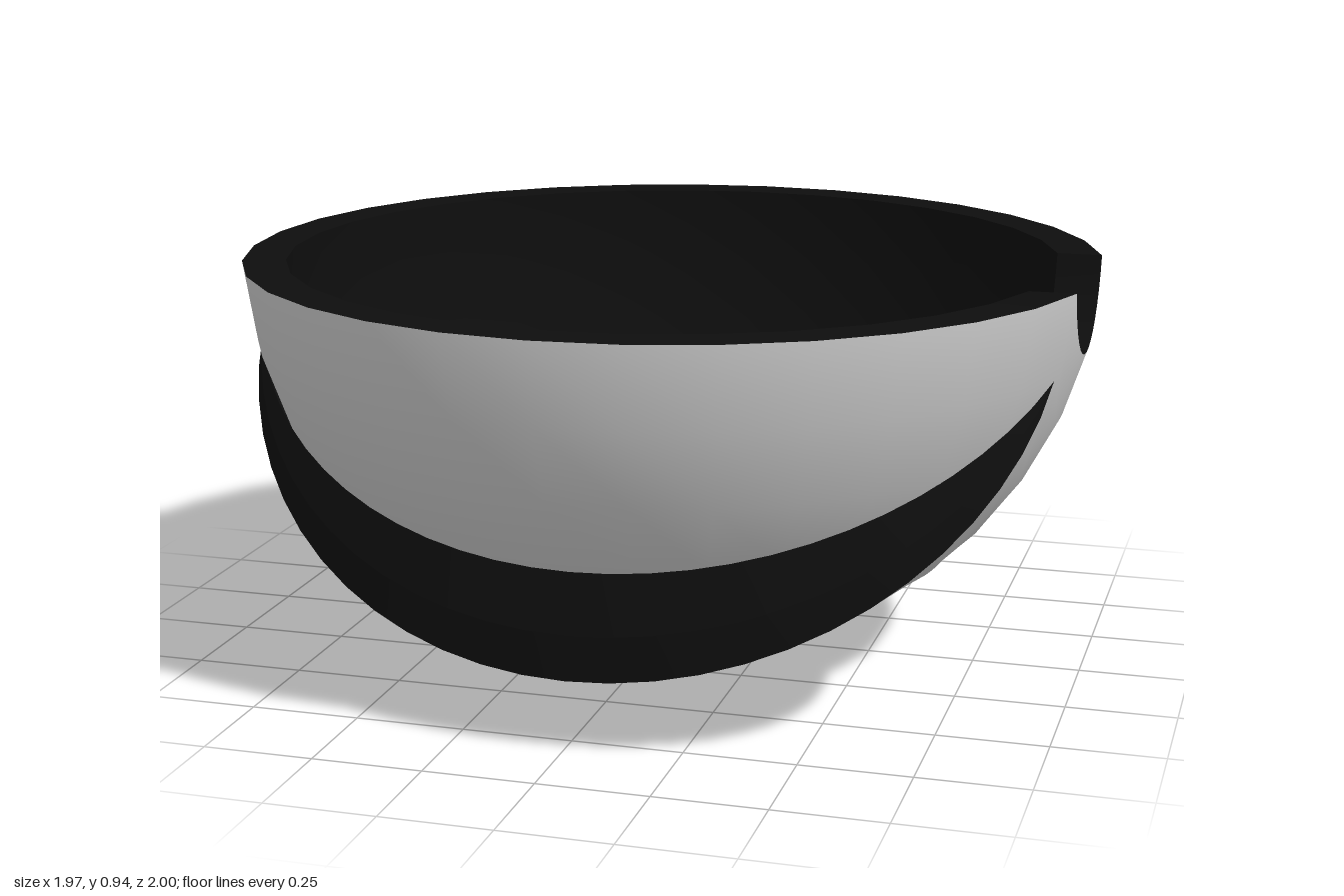
import * as THREE from 'three';
import { mergeGeometries } from 'three/addons/utils/BufferGeometryUtils.js';

const CX = 0.015, CY = 1;          // centre of the spherical body
const RIM = -0.06;                 // rim height relative to that centre
const NOTCH = 0.24;                // radius of the round cut on the +x side

// Surface through a grid of points; u x v points outwards
function grid(nu, nv, pointAt, normalAt) {
  const pos = [], nor = [], index = [];
  for (let i = 0; i <= nu; i++) for (let j = 0; j <= nv; j++) {
    const p = pointAt(i, j);
    pos.push(p.x, p.y, p.z);
    if (normalAt) nor.push(...normalAt(p).toArray());
    if (i < nu && j < nv) {
      const a = i * (nv + 1) + j, b = a + nv + 1;
      index.push(a, b, a + 1, b, b + 1, a + 1);
    }
  }
  const g = new THREE.BufferGeometry();
  g.setAttribute('position', new THREE.Float32BufferAttribute(pos, 3));
  g.setIndex(index);
  if (normalAt) g.setAttribute('normal', new THREE.Float32BufferAttribute(nor, 3));
  else g.computeVertexNormals();
  return g;
}

// Closed rim curve on a sphere of radius r: round notch, then the level circle
function rimCurve(r) {
  const pts = [], a0 = Math.acos(-RIM / NOTCH), cut = 16, round = 30;
  const x = Math.sqrt(r * r - NOTCH * NOTCH);
  for (let i = 0; i <= cut; i++) {
    const a = a0 * (2 * i / cut - 1);
    pts.push(new THREE.Vector3(x, -NOTCH * Math.cos(a), NOTCH * Math.sin(a)));
  }
  const start = Math.atan2(NOTCH * Math.sin(a0), x), rho = Math.sqrt(r * r - RIM * RIM);
  for (let i = 1; i <= round; i++) {
    const t = start + (2 * Math.PI - 2 * start) * i / round;
    pts.push(new THREE.Vector3(rho * Math.cos(t), RIM, rho * Math.sin(t)));
  }
  return pts;
}

// Spherical bowl surface running from its rim curve down to the pole
function bowl(r, rim, inward) {
  const n = rim.length - 1;
  return grid(n, 8, (i, j) => {
    const p = rim[inward ? n - i : i];
    const top = Math.acos(p.y / r), az = Math.atan2(p.z, p.x);
    const phi = top + (Math.PI - top) * j / 8;
    return new THREE.Vector3(r * Math.sin(phi) * Math.cos(az), r * Math.cos(phi), r * Math.sin(phi) * Math.sin(az));
  }, p => p.clone().normalize().multiplyScalar(inward ? -1 : 1));
}

// Crescent fin: arcs that share two tips and bulge through each profile point
function fin() {
  const half = 0.933, tipZ = 0.26, tipY = 0.75;
  const profile = [[0.8, 0.4], [0.835, 0.27], [0.84, 0.17], [0.76, 0.17], [0.67, 0.19], [0.6, 0.21]];
  const arc = ([z, y], u) => {
    const dz = z - tipZ, dy = y - tipY, d = Math.hypot(dz, dy);
    const R = (half * half + d * d) / (2 * d);
    const t = Math.asin(half / R) * (1 - 2 * u);
    const h = (R * Math.cos(t) - R + d) / d;
    return new THREE.Vector3(R * Math.sin(t), tipY + dy * h - CY, tipZ + dz * h);
  };
  const strips = [];
  for (let k = 0; k < profile.length - 1; k++) {
    strips.push(grid(28, 1, (i, j) => arc(profile[k + j], i / 28)));
  }
  return mergeGeometries(strips);
}

export function createModel() {
  const model = new THREE.Group();
  model.name = 'notchedBowl';
  const body = new THREE.Group();
  body.name = 'body';
  body.position.set(CX, CY, 0);
  model.add(body);

  const shellGrey = new THREE.MeshStandardMaterial({ color: 0xcccccc, side: THREE.DoubleSide });
  shellGrey.name = 'shellGrey';
  const black = new THREE.MeshStandardMaterial({ color: 0x0d0d0d, side: THREE.DoubleSide });
  black.name = 'black';

  const add = (name, geometry, material) => {
    const mesh = new THREE.Mesh(geometry, material);
    mesh.name = name;
    body.add(mesh);
    return mesh;
  };

  // Bowl: outer shell, dark lining, and the lip joining them
  const outer = rimCurve(1), inner = rimCurve(0.9);
  add('outerShell', bowl(1, outer, false), shellGrey);
  add('innerLining', bowl(0.9, inner, true), black);
  add('rim', grid(outer.length - 1, 1, (i, j) => (j ? outer : inner)[i]), black);

  // Matching fins on the front and back
  const finGeometry = fin();
  add('frontFin', finGeometry, black);
  add('backFin', finGeometry, black).rotation.y = Math.PI;

  return model;
}
